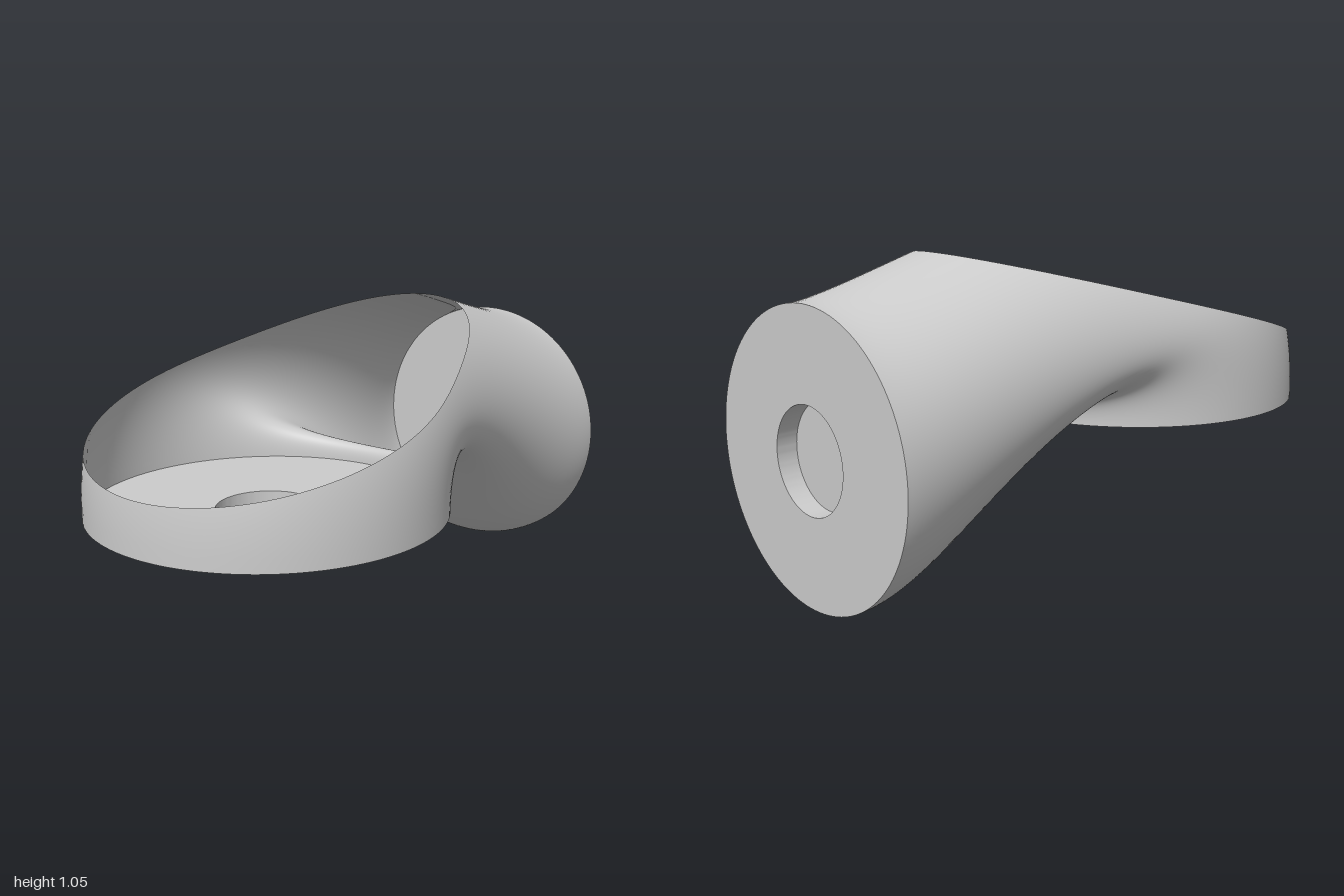
import * as THREE from 'three';
import { toCreasedNormals } from 'three/addons/utils/BufferGeometryUtils.js';

const BACK_R = 0.467, FLOOR_R = 0.59, LEVEL = 0.47, FLOOR_Z = 0.41;
const AROUND = 128, ALONG = 72;
const material = new THREE.MeshStandardMaterial({ color: 0xcccccc, side: THREE.DoubleSide });

// Point on the elbow: a Hermite sweep leaving the back circle forwards and
// arriving at the floor circle downwards, pinched a little at the waist.
function elbowPoint(angle, t) {
  const s = Math.sin(angle), c = Math.cos(angle);
  const h01 = t * t * (3 - 2 * t), h10 = t * (1 - t) ** 2, h11 = t * t * (t - 1);
  const pinch = 1 - 3.3 * t * t * (1 - t) ** 3;
  const drop = 2.35 + 1.55 * c;
  return [
    s * THREE.MathUtils.lerp(BACK_R, FLOOR_R, h01) * pinch,
    LEVEL + BACK_R * c * (1 - h01) - drop * h11,
    -1 + (1 + FLOOR_Z + FLOOR_R * c) * h01 + 1.1 * h10,
  ];
}

// Height above the slanted plane that opens the top
const above = (v) => v[1] - (0.64 + (1 - v[2]) * 0.268);

// Keep the part of a polygon below the plane; corners hold position and normal
function clip(polygon) {
  const kept = [];
  polygon.forEach((a, i) => {
    const b = polygon[(i + 1) % polygon.length];
    const da = above(a), db = above(b);
    if (da <= 0) kept.push(a);
    if ((da <= 0) !== (db <= 0)) {
      const k = da / (da - db);
      kept.push(a.map((v, n) => v + (b[n] - v) * k));
    }
  });
  return kept;
}

function elbowGeometry() {
  // Full closed tube, for smooth normals
  const points = [], index = [];
  for (let j = 0; j <= ALONG; j++) {
    for (let i = 0; i < AROUND; i++) {
      points.push(...elbowPoint((i / AROUND) * Math.PI * 2, j / ALONG));
      if (j === ALONG) continue;
      const next = (i + 1) % AROUND, row = j * AROUND, up = row + AROUND;
      index.push(row + i, up + i, row + next, up + i, up + next, row + next);
    }
  }
  const tube = new THREE.BufferGeometry();
  tube.setAttribute('position', new THREE.Float32BufferAttribute(points, 3));
  tube.setIndex(index);
  tube.computeVertexNormals();

  // Slice off everything above the slanted plane
  const p = tube.attributes.position, n = tube.attributes.normal;
  const corner = (v) => [p.getX(v), p.getY(v), p.getZ(v), n.getX(v), n.getY(v), n.getZ(v)];
  const position = [], normal = [];
  for (let f = 0; f < index.length; f += 3) {
    const poly = clip([corner(index[f]), corner(index[f + 1]), corner(index[f + 2])]);
    for (let k = 1; k + 1 < poly.length; k++) {
      for (const v of [poly[0], poly[k], poly[k + 1]]) {
        position.push(v[0], v[1], v[2]);
        normal.push(v[3], v[4], v[5]);
      }
    }
  }
  const shell = new THREE.BufferGeometry();
  shell.setAttribute('position', new THREE.Float32BufferAttribute(position, 3));
  shell.setAttribute('normal', new THREE.Float32BufferAttribute(normal, 3));
  return shell;
}

// Disc with a round cup pressed into its middle
function cuppedDisc(name, radius, depth) {
  const profile = [[0, depth], [0.17, depth], [0.17, 0], [radius, 0]];
  const lathe = new THREE.LatheGeometry(profile.map(([x, y]) => new THREE.Vector2(x, y)), AROUND);
  const mesh = new THREE.Mesh(toCreasedNormals(lathe, 0.6), material);
  mesh.name = name;
  return mesh;
}

export function createModel() {
  const group = new THREE.Group();
  group.name = 'openElbow';

  const shell = new THREE.Mesh(elbowGeometry(), material);
  shell.name = 'elbowShell';

  // Floor with a peg below it
  const floor = cuppedDisc('floorWithPeg', FLOOR_R, -0.07);
  floor.position.set(0, LEVEL, FLOOR_Z);

  // Back wall with a matching socket
  const back = cuppedDisc('backWallWithSocket', BACK_R, 0.07);
  back.rotation.x = Math.PI / 2;
  back.position.set(0, LEVEL, -1);

  group.add(shell, floor, back);
  return group;
}
